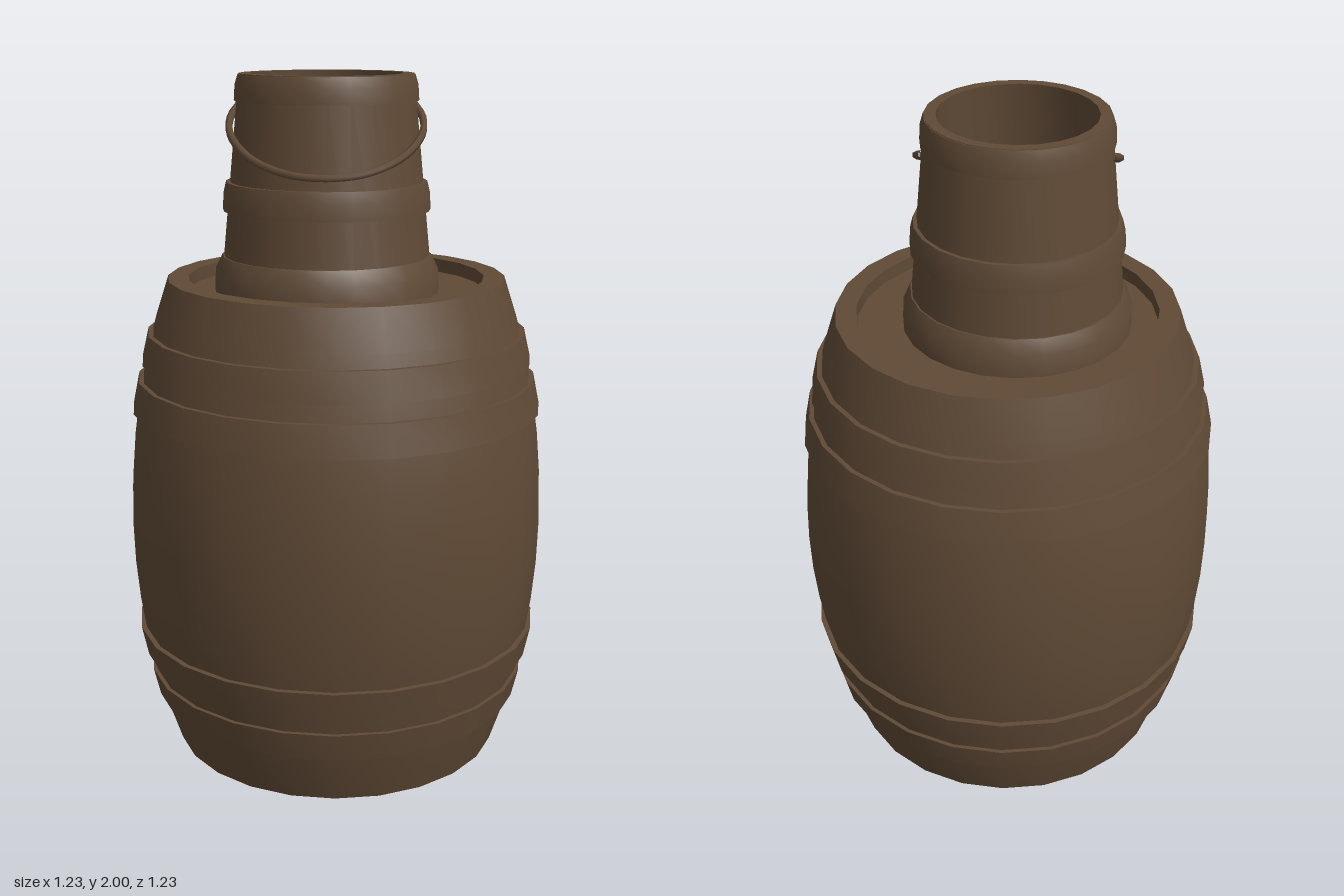
import * as THREE from 'three';
import { toCreasedNormals } from 'three/addons/utils/BufferGeometryUtils.js';

const SIDES = 24;
const brown = new THREE.MeshStandardMaterial({ color: 0x604a36 });

// Turned part from [radius, height] pairs, listed counter-clockwise from the bottom
function turned(name, profile) {
  const points = profile.map(([r, y]) => new THREE.Vector2(r, y));
  const mesh = new THREE.Mesh(toCreasedNormals(new THREE.LatheGeometry(points, SIDES), 0.5), brown);
  mesh.name = name;
  return mesh;
}

// Band with sloping outer face, sunk into the wall behind it
function hoop(name, y0, r0, y1, r1, depth = 0.04) {
  return turned(name, [[r0 - depth, y0], [r0, y0], [r1, y1], [r1 - depth, y1]]);
}

function createBarrel() {
  const barrel = new THREE.Group();
  barrel.name = 'barrel';
  const height = 1.425, lip = 0.04, inner = 0.43;

  // Bulging staves with recessed heads at both ends
  const profile = [[0, lip], [inner, lip], [inner, 0]];
  for (let i = 0; i <= 12; i++) {
    const t = (i / 12) * 2 - 1;
    profile.push([0.49 + 0.127 * (1 - t * t), (i / 12) * height]);
  }
  profile.push([inner, height], [inner, height - lip], [0, height - lip]);
  barrel.add(turned('barrelBody', profile));

  // Two hoops at each end, mirrored about the middle
  for (const [y0, r0, y1, r1] of [[0.155, 0.553, 0.24, 0.573], [0.29, 0.585, 0.38, 0.604]]) {
    barrel.add(hoop('lowerHoop', y0, r0, y1, r1));
    barrel.add(hoop('upperHoop', height - y1, r1, height - y0, r0));
  }
  return barrel;
}

function createBucket() {
  const bucket = new THREE.Group();
  bucket.name = 'bucket';

  // Tapered open wall with a floor inside
  bucket.add(turned('bucketBody', [
    [0, 1.386], [0.308, 1.386], [0.247, 2], [0.217, 2], [0.265, 1.44], [0, 1.44],
  ]));

  // Rounded-over bands
  for (const [y0, y1, r0, r1] of [
    [1.386, 1.49, 0.326, 0.302], [1.62, 1.7, 0.299, 0.288], [1.925, 1.998, 0.262, 0.25],
  ]) {
    bucket.add(turned('bucketBand', [
      [r0 - 0.04, y0], [r0, y0], [r0 - 0.003, y0 + (y1 - y0) * 0.6], [r1, y1], [r1 - 0.03, y1],
    ]));
  }

  // Swinging handle, drooping towards the front
  const half = [[0.248, 0], [0.272, 0.09], [0.264, 0.2], [0.2, 0.33], [0.1, 0.41]];
  const path = [
    ...half.map(([x, z]) => new THREE.Vector3(-x, 0, z)),
    new THREE.Vector3(0, 0, 0.43),
    ...half.slice().reverse().map(([x, z]) => new THREE.Vector3(x, 0, z)),
  ];
  const handle = new THREE.Mesh(
    new THREE.TubeGeometry(new THREE.CatmullRomCurve3(path), 36, 0.011, 6), brown);
  handle.name = 'handle';
  handle.position.set(0, 1.915, -0.08);
  handle.rotation.x = Math.atan2(0.175, 0.39);
  bucket.add(handle);

  bucket.position.set(-0.027, 0, 0.005);
  return bucket;
}

export function createModel() {
  const model = new THREE.Group();
  model.name = 'barrelWithBucket';
  model.add(createBarrel(), createBucket());
  return model;
}
